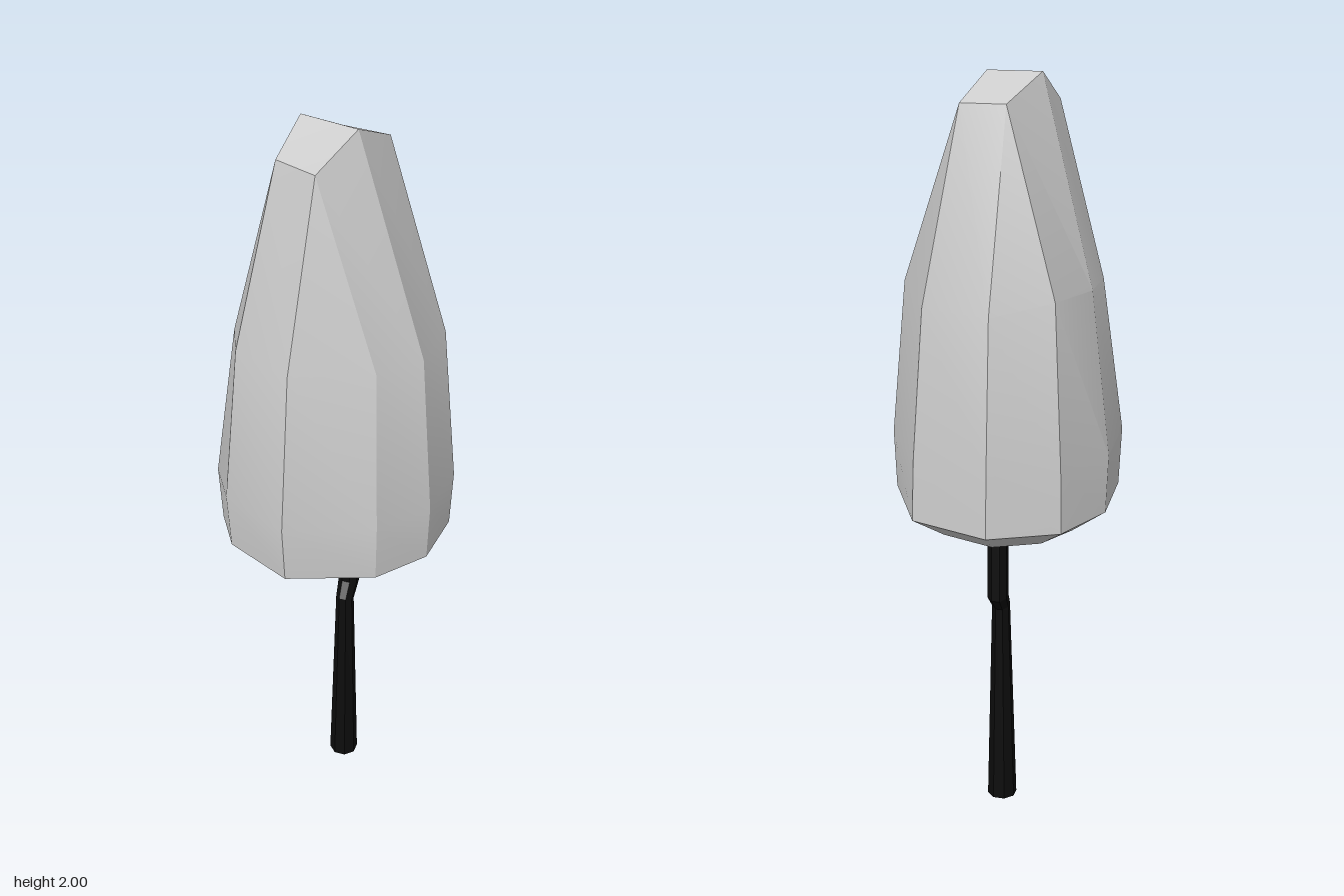
import * as THREE from 'three';
import { toCreasedNormals } from 'three/addons/utils/BufferGeometryUtils.js';

// Flat list of triangles from points and polygon index loops
function polyGeometry(points, polygons) {
  const pos = [];
  for (const p of polygons)
    for (let i = 1; i < p.length - 1; i++)
      for (const k of [p[0], p[i], p[i + 1]]) pos.push(...points[k]);
  const g = new THREE.BufferGeometry();
  g.setAttribute('position', new THREE.Float32BufferAttribute(pos, 3));
  return g;
}

// Faceted tapering limb through [x, y, z, radius] joints, with mitred rings
function limb(joints, sides = 8) {
  const pts = joints.map(j => new THREE.Vector3(j[0], j[1], j[2]));
  const points = [], polys = [], n = pts.length;
  pts.forEach((p, i) => {
    const a = p.clone().sub(pts[Math.max(i - 1, 0)]).normalize();
    const b = pts[Math.min(i + 1, n - 1)].clone().sub(p).normalize();
    const t = a.add(b).normalize();
    const u = new THREE.Vector3(1, 0, 0).addScaledVector(t, -t.x).normalize();
    const v = u.clone().cross(t);
    for (let s = 0; s < sides; s++) {
      const w = (s + 0.5) / sides * Math.PI * 2;
      points.push(p.clone().addScaledVector(u, Math.cos(w) * joints[i][3])
        .addScaledVector(v, Math.sin(w) * joints[i][3]).toArray());
    }
  });
  for (let i = 0; i < n - 1; i++)
    for (let s = 0; s < sides; s++) {
      const q = (s + 1) % sides, a = i * sides, b = a + sides;
      polys.push([a + s, b + s, b + q, a + q]);
    }
  const cap = [...Array(sides).keys()];
  polys.push(cap, cap.map(k => (n - 1) * sides + k).reverse());
  return toCreasedNormals(polyGeometry(points, polys), 0.5);
}

function crownGeometry() {
  // Widest outline [x, z], starting at the back and going round by the left
  const wide = [[-0.045, -0.345], [0.17, -0.265], [0.297, -0.03], [0.282, 0.14], [0.183, 0.268],
    [-0.035, 0.35], [-0.22, 0.26], [-0.29, 0.15], [-0.3, -0.095], [-0.215, -0.26]];
  const shoulder = [[-0.04, -0.293], [0.148, -0.223], [0.255, -0.035], [0.245, 0.12], [0.16, 0.22],
    [-0.03, 0.3], [-0.19, 0.225], [-0.235, 0.125], [-0.24, -0.045], [-0.185, -0.22]];
  const n = wide.length;
  const scaled = (s, y) => wide.map(([x, z]) => [x * s, y, z * s]);
  const points = [
    ...scaled(0.67, 0.845),
    ...wide.map(([x, z]) => z < -0.2 ? [x, 0.91, z] : [x * 0.98, 0.915, z * 0.97]),
    ...wide.map(([x, z]) => z < -0.2 ? [x * 0.98, 1.07, z * 0.97] : [x, 1.07, z]),
    ...shoulder.map(([x, z], i) => [x, i < 2 ? 1.45 : 1.48, z]),
  ];
  const polys = [];
  for (let r = 0; r < 3; r++)
    for (let i = 0; i < n; i++) {
      const j = (i + 1) % n;
      polys.push([r * n + i, (r + 1) * n + i, (r + 1) * n + j, r * n + j]);
    }
  // Ridged tip of six points; each shoulder point leads to one of them
  const tip = points.length;
  points.push([-0.115, 1.93, 0.123], [0, 1.93, 0.18], [0.06, 2, 0.062],
    [0.083, 1.93, -0.105], [-0.04, 1.93, -0.127], [-0.095, 2, 0.013]);
  const lead = [4, 3, 3, 2, 1, 1, 0, 0, 5, 4];
  for (let i = 0; i < n; i++) {
    const j = (i + 1) % n, a = 3 * n + i, b = 3 * n + j;
    polys.push(lead[i] === lead[j] ? [a, tip + lead[i], b] : [a, tip + lead[i], tip + lead[j], b]);
  }
  polys.push([2, 3, 4, 5].map(k => tip + k), [0, 1, 2, 5].map(k => tip + k));
  return toCreasedNormals(polyGeometry(points, polys), 0.35);
}

export function createModel() {
  const model = new THREE.Group();
  model.name = 'tree';
  const add = (name, geometry, material) => {
    const mesh = new THREE.Mesh(geometry, material);
    mesh.name = name;
    model.add(mesh);
  };
  const leaf = new THREE.MeshStandardMaterial({ color: 0xcccccc, side: THREE.DoubleSide });
  const bark = new THREE.MeshStandardMaterial({ color: 0x0c0c0c, side: THREE.DoubleSide });

  // Leafy crown, open underneath
  add('crown', crownGeometry(), leaf);
  // Trunk with a kink towards the back
  add('trunk', limb([[0.003, 0, -0.008, 0.041], [0.005, 0.59, -0.012, 0.025],
    [0.005, 0.63, -0.045, 0.029], [0.005, 1.3, -0.045, 0.027]]), bark);
  // Side branch reaching forward, then up into the crown
  add('branch', limb([[0.005, 0.775, -0.045, 0.026], [-0.045, 0.868, 0.135, 0.027],
    [-0.045, 1.25, 0.14, 0.022]]), bark);
  return model;
}
